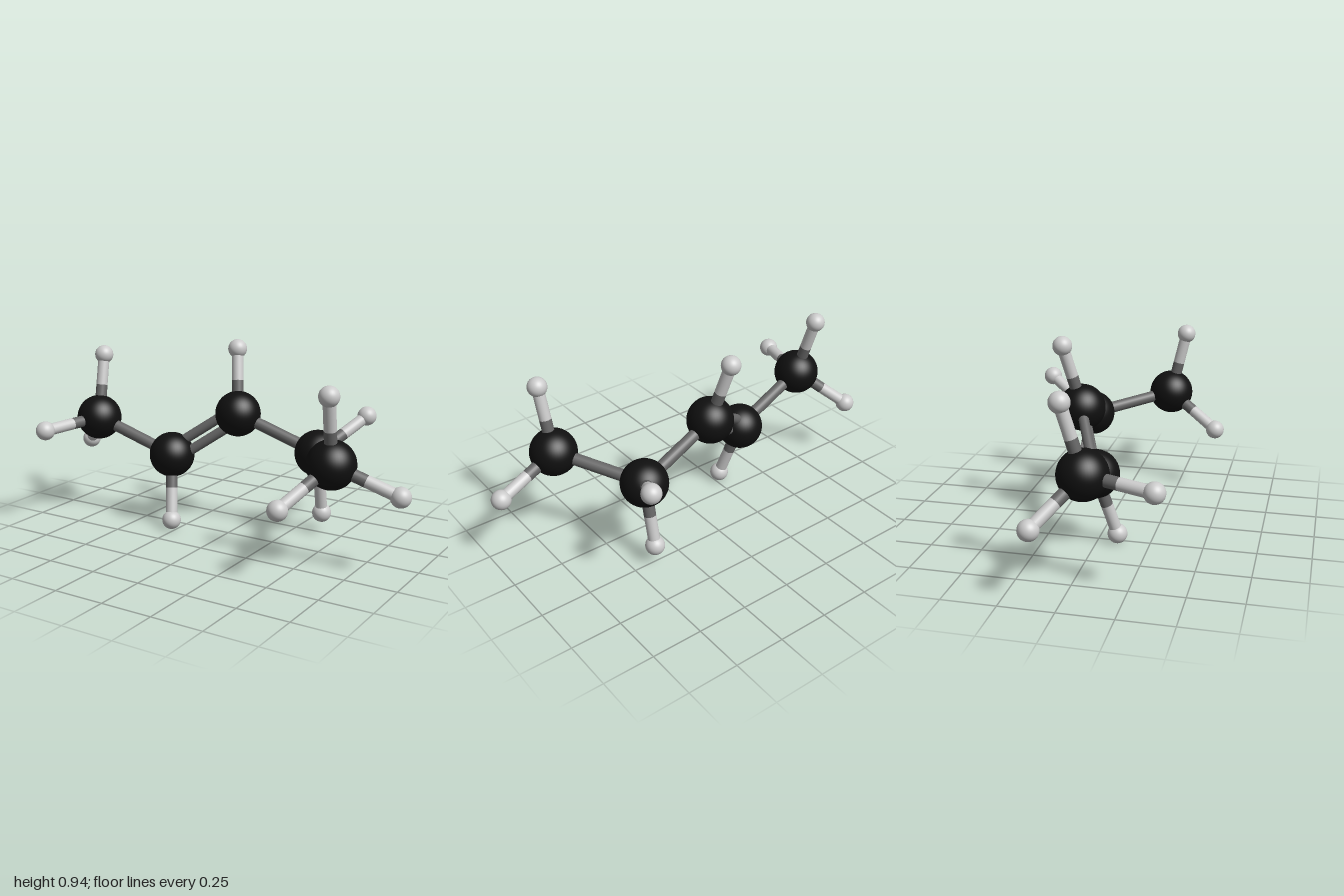
import * as THREE from 'three';

const CARBON_R = 0.113, HYDROGEN_R = 0.047, BOND_R = 0.029;

// Carbon chain, each with the hydrogens attached to it
const CHAIN = [
  { at: [-0.75, 0.515, 0.056], hydrogens: [[-0.777, 0.828, -0.032], [-0.953, 0.335, -0.12], [-0.837, 0.496, 0.375]] },
  { at: [-0.33, 0.362, 0.005], hydrogens: [[-0.275, 0.05, 0.097]] },
  { at: [-0.026, 0.582, -0.135], hydrogens: [[-0.078, 0.892, -0.216]] },
  { at: [0.393, 0.427, -0.188], hydrogens: [[0.388, 0.105, -0.255], [0.531, 0.577, -0.444]] },
  { at: [0.644, 0.498, 0.187], hydrogens: [[0.66, 0.817, 0.26], [0.953, 0.387, 0.139], [0.519, 0.339, 0.445]] },
];
const DOUBLE_BOND = 1; // index of the carbon that starts the double bond

export function createModel() {
  const model = new THREE.Group();
  model.name = 'ballAndStickMolecule';

  const black = new THREE.MeshStandardMaterial({ color: 0x101010 });
  const darkGrey = new THREE.MeshStandardMaterial({ color: 0x666666 });
  const lightGrey = new THREE.MeshStandardMaterial({ color: 0xcccccc });

  const carbonGeometry = new THREE.SphereGeometry(CARBON_R, 48, 32);
  const hydrogenGeometry = new THREE.SphereGeometry(HYDROGEN_R, 32, 24);

  function addBall(name, geometry, material, position) {
    const ball = new THREE.Mesh(geometry, material);
    ball.name = name;
    ball.position.copy(position);
    model.add(ball);
  }

  // Straight rod between two points
  function addRod(name, from, to, radius, material) {
    const axis = to.clone().sub(from);
    const rod = new THREE.Mesh(new THREE.CylinderGeometry(radius, radius, axis.length(), 24), material);
    rod.name = name;
    rod.position.copy(from).add(to).multiplyScalar(0.5);
    rod.quaternion.setFromUnitVectors(new THREE.Vector3(0, 1, 0), axis.normalize());
    model.add(rod);
  }

  const carbons = CHAIN.map((c) => new THREE.Vector3(...c.at));

  // Atoms and two-tone hydrogen bonds
  CHAIN.forEach((c, i) => {
    addBall('carbon' + (i + 1), carbonGeometry, black, carbons[i]);
    c.hydrogens.forEach((h, j) => {
      const tip = new THREE.Vector3(...h);
      const middle = carbons[i].clone().lerp(tip, 0.51);
      const id = (i + 1) + '_' + (j + 1);
      addBall('hydrogen' + id, hydrogenGeometry, lightGrey, tip);
      addRod('bondInner' + id, carbons[i], middle, BOND_R, darkGrey);
      addRod('bondOuter' + id, middle, tip, BOND_R, lightGrey);
    });
  });

  // Bonds along the chain; the double one is a pair of rods in the chain plane
  for (let i = 0; i < carbons.length - 1; i++) {
    const a = carbons[i], b = carbons[i + 1];
    if (i !== DOUBLE_BOND) {
      addRod('singleBond' + (i + 1), a, b, BOND_R, darkGrey);
      continue;
    }
    const axis = b.clone().sub(a).normalize();
    const side = carbons[i - 1].clone().sub(a);
    side.addScaledVector(axis, -side.dot(axis)).normalize();
    for (const s of [-1, 1]) {
      const shift = side.clone().multiplyScalar(s * 0.032);
      addRod(s > 0 ? 'doubleBondUpper' : 'doubleBondLower', a.clone().add(shift), b.clone().add(shift), 0.025, darkGrey);
    }
  }
  return model;
}
